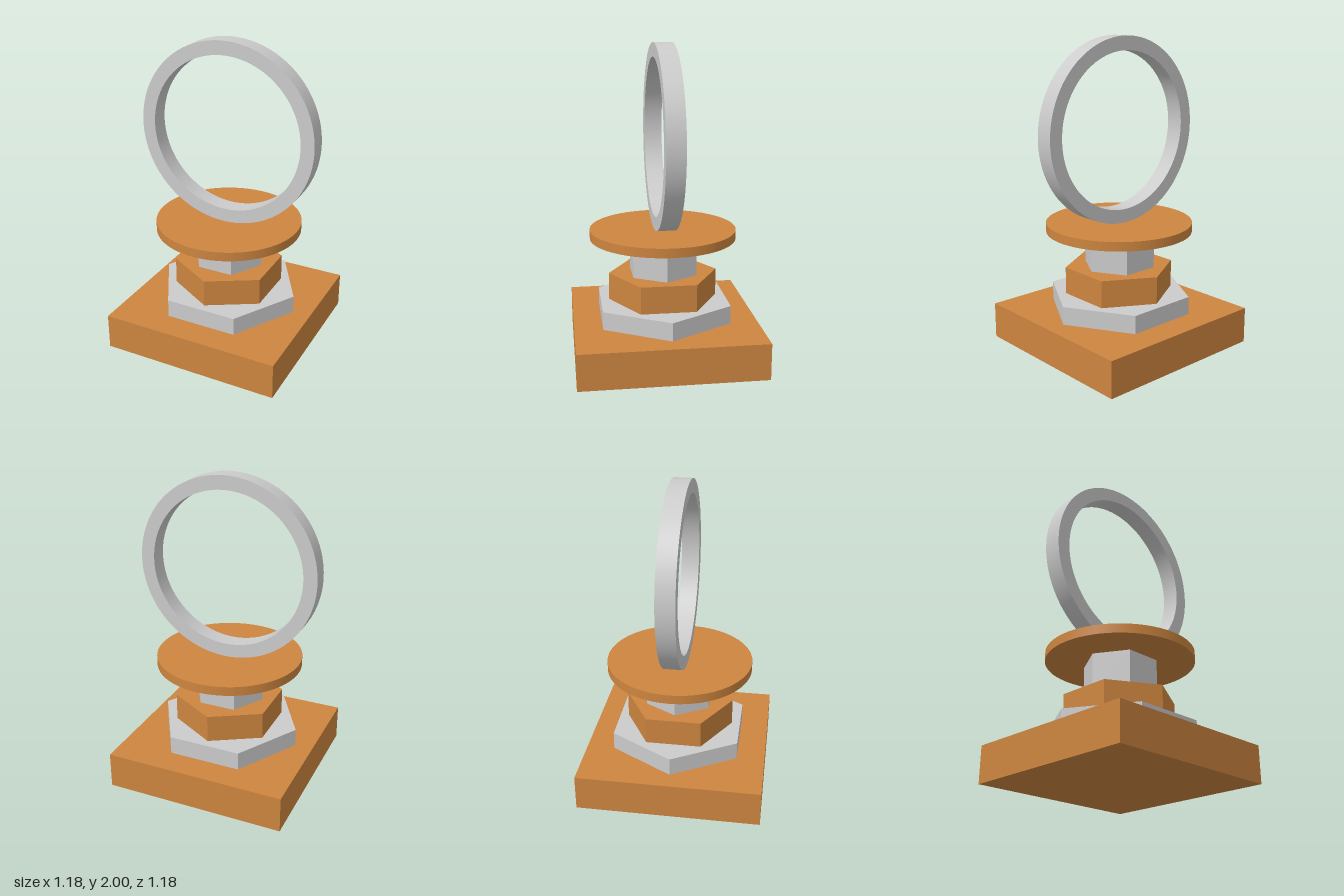
import * as THREE from 'three';
import { toCreasedNormals } from 'three/addons/utils/BufferGeometryUtils.js';

export function createModel() {
  const model = new THREE.Group();
  const grey = new THREE.MeshStandardMaterial({ color: 0xcccccc });
  const bronze = new THREE.MeshStandardMaterial({ color: 0xcd853f });

  function add(name, geometry, material, y) {
    const mesh = new THREE.Mesh(geometry, material);
    mesh.name = name;
    mesh.position.y = y;
    model.add(mesh);
  }

  // Upright prism with flat sides; turn rotates its corners about y
  function prism(radius, height, sides, turn = 0) {
    const g = new THREE.CylinderGeometry(radius, radius, height, sides).rotateY(turn);
    return toCreasedNormals(g, Math.PI / 6);
  }

  // Square base
  add('base', new THREE.BoxGeometry(1.176, 0.235, 1.176), bronze, 0.1176);

  // Stacked hexagonal tiers, alternately turned
  add('lowerHexagon', prism(0.4706, 0.1176, 6, Math.PI / 6), grey, 0.2941);
  add('middleHexagon', prism(0.3529, 0.1765, 6), bronze, 0.4412);
  add('hexagonalNeck', prism(0.2353, 0.2353, 6, Math.PI / 6), grey, 0.6471);

  // Round plate
  add('plate', prism(0.4706, 0.0588, 96), bronze, 0.7941);

  // Upright ring with a flat rectangular section
  const outline = new THREE.Shape().absarc(0, 0, 0.588, 0, Math.PI * 2);
  outline.holes.push(new THREE.Path().absarc(0, 0, 0.5, 0, Math.PI * 2, true));
  const ring = new THREE.ExtrudeGeometry(outline, { depth: 0.1176, bevelEnabled: false, curveSegments: 96 });
  ring.translate(0, 0, -0.0588);
  add('ring', toCreasedNormals(ring, Math.PI / 6), grey, 1.4118);

  return model;
}
